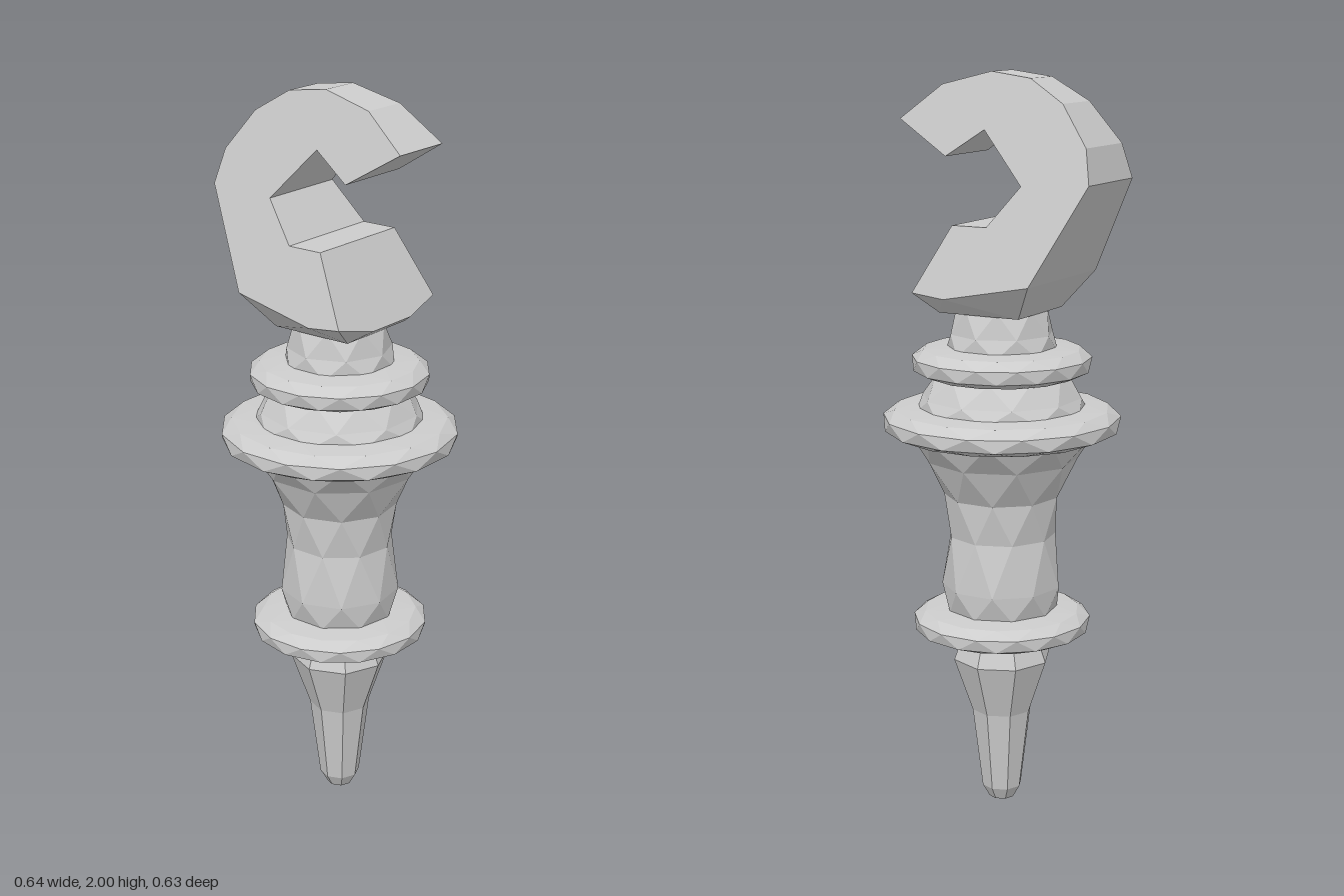
import * as THREE from 'three';
import { ConvexGeometry } from 'three/addons/geometries/ConvexGeometry.js';

const material = new THREE.MeshStandardMaterial({ color: 0xcccccc, flatShading: true });

function addMesh(group, name, geometry) {
  const flat = geometry.index ? geometry.toNonIndexed() : geometry;
  flat.computeVertexNormals();
  const mesh = new THREE.Mesh(flat, material);
  mesh.name = name;
  group.add(mesh);
}

// Lathe of [radius, y] pairs; each row turns by a fraction of a side for a hand-cut look
function turned(profile, sides, twist = 0) {
  const geometry = new THREE.LatheGeometry(profile.map(([r, y]) => new THREE.Vector2(r, y)), sides);
  const pos = geometry.attributes.position;
  const v = new THREE.Vector3();
  const up = new THREE.Vector3(0, 1, 0);
  for (let i = 0; i < pos.count; i++) {
    const row = i % profile.length;
    v.fromBufferAttribute(pos, i).applyAxisAngle(up, row * twist * 2 * Math.PI / sides);
    pos.setXYZ(i, v.x, v.y, v.z);
  }
  return geometry;
}

// Chunky ring with a closed, bevelled section
function ring(radius, bottom, top, inner) {
  const h = top - bottom;
  return turned([
    [0, bottom], [radius - 0.045, bottom], [radius - 0.004, bottom + h * 0.22],
    [radius, bottom + h * 0.65], [radius - 0.03, top - 0.006], [inner, top], [0, top],
  ], 14, 0.5);
}

// Half thickness of the hook, tapering towards the top
const halfDepth = (y) => 0.2 - (y - 1.44) * 0.259;

export function createModel() {
  const group = new THREE.Group();

  // Pointed foot
  addMesh(group, 'spike', turned([
    [0, 0], [0.035, 0.01], [0.055, 0.045], [0.083, 0.27], [0.135, 0.42], [0.105, 0.5], [0, 0.5],
  ], 8));

  // Waisted body
  addMesh(group, 'body', turned([
    [0, 0.55], [0.15, 0.56], [0.162, 0.63], [0.145, 0.77], [0.155, 0.88], [0.205, 0.98], [0.255, 1.06], [0, 1.06],
  ], 9, 0.5));

  // Collar and neck
  addMesh(group, 'collar', turned([[0, 1.1], [0.23, 1.11], [0.215, 1.15], [0.175, 1.21], [0, 1.21]], 10, 0.5));
  addMesh(group, 'neck', turned([[0, 1.26], [0.15, 1.27], [0.14, 1.32], [0.12, 1.39], [0, 1.39]], 8, 0.5));

  // Three rings
  addMesh(group, 'lowerRing', ring(0.24, 0.49, 0.565, 0.15));
  addMesh(group, 'middleRing', ring(0.318, 1.045, 1.125, 0.23));
  addMesh(group, 'upperRing', ring(0.24, 1.205, 1.285, 0.15));

  // Curved hook, extruded and then tapered in depth
  const outline = [
    [0, 2], [-0.115, 1.985], [-0.215, 1.925], [-0.295, 1.82], [-0.315, 1.73], [-0.18, 1.475],
    [0.06, 1.43], [0.155, 1.44], [0.06, 1.615], [-0.04, 1.615], [-0.125, 1.72], [0, 1.855],
    [0.105, 1.785], [0.255, 1.875], [0.14, 1.965],
  ];
  const shape = new THREE.Shape(outline.map(([x, y]) => new THREE.Vector2(x, y)));
  const hook = new THREE.ExtrudeGeometry(shape, { depth: 2, bevelEnabled: false });
  const pos = hook.attributes.position;
  for (let i = 0; i < pos.count; i++) pos.setZ(i, (pos.getZ(i) - 1) * halfDepth(pos.getY(i)));
  addMesh(group, 'hook', hook);

  // Bevelled underside of the hook
  const underside = [
    [-0.18, 1.475, halfDepth(1.475)], [0.06, 1.43, halfDepth(1.43)], [0.155, 1.44, halfDepth(1.44)],
    [0.17, 1.412, 0.08], [0.12, 1.38, 0.12], [-0.115, 1.38, 0.12],
  ];
  const points = [1, -1].flatMap((s) => underside.map(([x, y, z]) => new THREE.Vector3(x, y, s * z)));
  addMesh(group, 'hookUnderside', new ConvexGeometry(points));

  return group;
}
